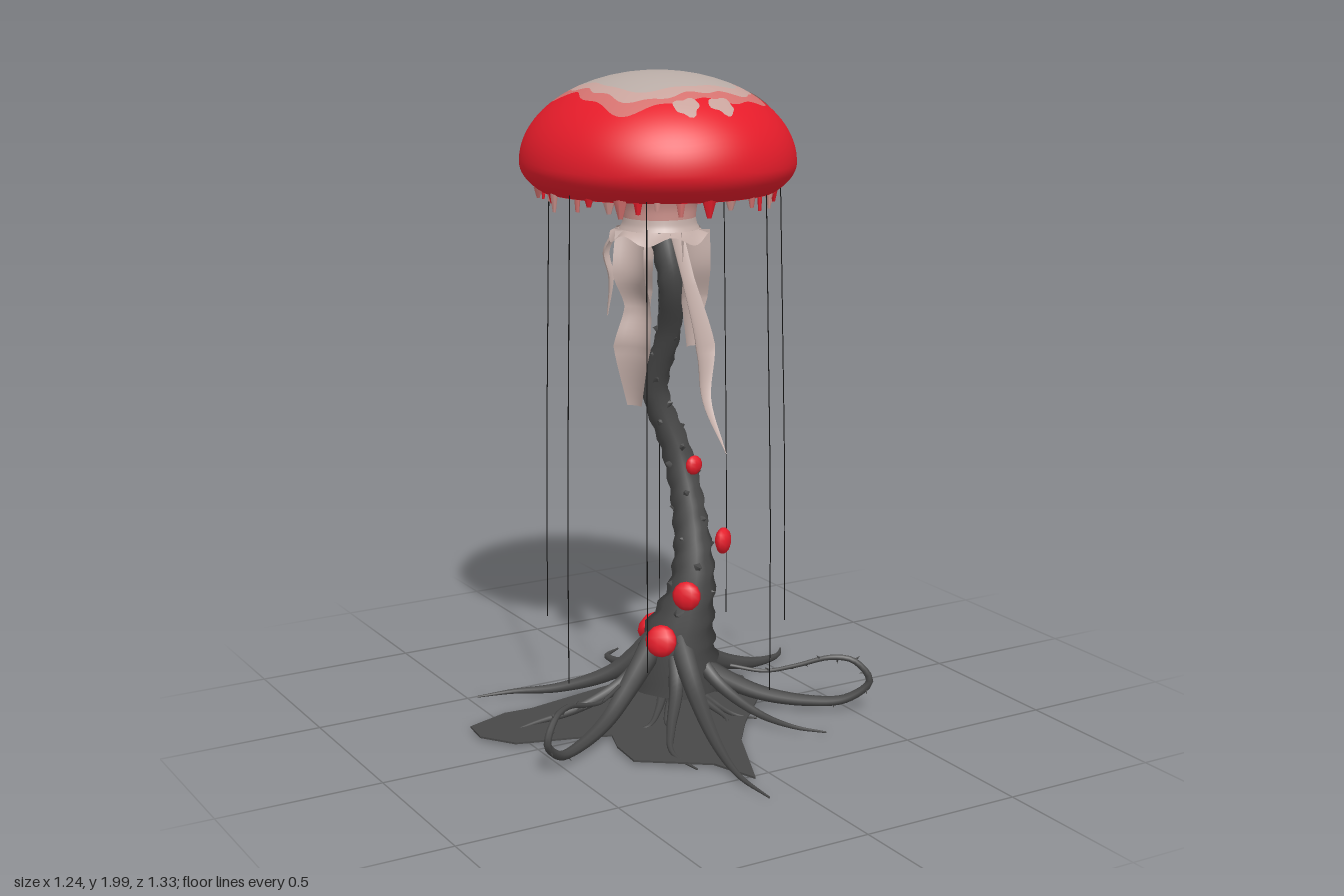
import * as THREE from 'three';
import { ParametricGeometry } from 'three/addons/geometries/ParametricGeometry.js';

const V = (x, y, z) => new THREE.Vector3(x, y, z);
const mat = (name, color, side = THREE.FrontSide) => {
  const m = new THREE.MeshStandardMaterial({ color, side });
  m.name = name;
  return m;
};

export function createModel() {
  const root = new THREE.Group();
  root.name = 'mushroomTree';
  const red = mat('capRed', 0xe61c2a, THREE.DoubleSide);
  const pale = mat('paleCrown', 0xb8aba5, THREE.DoubleSide);
  const blush = mat('blush', 0xc8a39c, THREE.DoubleSide);
  const rose = mat('neckRose', 0xd0958f, THREE.DoubleSide);
  const coral = mat('coral', 0xd4726f, THREE.DoubleSide);
  const bone = mat('tentacleBone', 0xc2ada7, THREE.DoubleSide);
  const bark = mat('darkBark', 0x484848, THREE.DoubleSide);
  const black = mat('filamentBlack', 0x151515);

  const add = (name, geo, material, parent = root) => {
    const m = new THREE.Mesh(geo, material);
    m.name = name;
    parent.add(m);
    return m;
  };
  const group = (name) => {
    const g = new THREE.Group();
    g.name = name;
    root.add(g);
    return g;
  };
  const surface = (fn, nu, nv) => new ParametricGeometry(fn, nu, nv);
  // Tube whose radius follows a rule of t (along) and a (around)
  const taperTube = (pts, radius, segs, sides) => {
    const curve = new THREE.CatmullRomCurve3(pts);
    const geo = new THREE.TubeGeometry(curve, segs, 1, sides);
    const pos = geo.attributes.position, p = V(0, 0, 0);
    for (let i = 0; i <= segs; i++) {
      const c = curve.getPointAt(i / segs);
      for (let j = 0; j <= sides; j++) {
        const k = i * (sides + 1) + j;
        p.fromBufferAttribute(pos, k).sub(c).multiplyScalar(radius(i / segs, (j % sides) / sides * Math.PI * 2)).add(c);
        pos.setXYZ(k, p.x, p.y, p.z);
      }
    }
    return geo;
  };
  const steps = (list) => (t) => { // piecewise linear lookup
    const f = t * (list.length - 1), i = Math.min(Math.floor(f), list.length - 2);
    return THREE.MathUtils.lerp(list[i], list[i + 1], f - i);
  };

  // Cap: bands between wavy outlines on one smooth dome
  const CX = 0.012, CZ = -0.163, RX = 0.413, RZ = 0.428;
  const domePoint = (phi, a, out, lift = 0) => {
    const c = Math.cos(phi), s = Math.sin(phi);
    return out.set(CX + RX * s * Math.cos(a), 1.73 + (c > 0 ? 0.27 : 0.16) * c + lift, CZ + RZ * s * Math.sin(a));
  };
  const square = (a) => Math.pow(Math.cos(a) ** 4 + Math.sin(a) ** 4, -0.25);
  const lobe = (a, at, size, width) => size * Math.exp(-(((a - at) / width) ** 2));
  const edges = [
    () => 0.003,
    (a) => Math.asin((0.2 * square(a) + 0.004 * Math.sin(9 * a)) / 0.42),
    (a) => Math.asin((0.24 * square(a) + 0.008 * Math.sin(13 * a + 1)) / 0.42),
    (a) => Math.asin((0.275 * square(a) + 0.01 * Math.sin(11 * a) + 0.008 * Math.sin(5 * a + 1) + lobe(a, 5.95, 0.04, 0.3)) / 0.42),
    () => 2.12,
  ];
  const cap = group('cap');
  [['crown', pale], ['crownRing', blush], ['crownFringe', coral], ['capSkin', red]].forEach(([name, m], i) =>
    add(name, surface((u, v, o) => {
      const a = u * Math.PI * 2;
      domePoint(THREE.MathUtils.lerp(edges[i](a), edges[i + 1](a), v), a, o);
    }, 120, i === 3 ? 22 : 5), m, cap));

  // Pale spots lying on the dome
  [[-0.085, -0.46, 0.05], [0.09, -0.48, 0.042], [0.32, -0.07, 0.032], [-0.065, 0.14, 0.035], [0.045, 0.15, 0.035]].forEach(([x, z, r], i) =>
    add('capSpot', surface((u, v, o) => {
      const a = u * Math.PI * 2, q = r * Math.max(v, 0.01) * (1 + 0.15 * Math.sin(3 * a + i) + 0.1 * Math.sin(5 * a));
      const dx = (x + q * Math.cos(a) * 1.1 - CX) / RX, dz = (z + q * Math.sin(a) * 0.9 - CZ) / RZ;
      domePoint(Math.asin(Math.min(Math.hypot(dx, dz), 1)), Math.atan2(dz, dx), o, 0.004);
    }, 24, 4), blush, cap));

  // Underside: wavy rings rising to the neck
  const under = [
    () => 0.853,
    (a) => 0.7 + 0.08 * Math.sin(9 * a) + 0.05 * Math.sin(5 * a + 2),
    (a) => 0.48 + 0.05 * Math.sin(7 * a + 1),
    () => 0.28,
  ];
  [['gillRim', red], ['gillMiddle', pale], ['gillInner', coral]].forEach(([name, m], i) =>
    add(name, surface((u, v, o) => {
      const a = u * Math.PI * 2, q = THREE.MathUtils.lerp(under[i](a), under[i + 1](a), v);
      o.set(CX + RX * q * Math.cos(a), 1.646 + 0.03 * Math.sin((0.853 - q) / 0.573 * Math.PI / 2), CZ + RZ * q * Math.sin(a));
    }, 72, 4), m, cap));

  // Uneven drips around the rim
  for (let i = 0; i < 34; i++) {
    const a = i / 34 * Math.PI * 2 + 0.08 * Math.sin(i * 7), len = 0.025 + 0.03 * Math.abs(Math.sin(i * 2.3));
    const q = 0.83 + 0.05 * Math.sin(i * 3.1);
    const d = add('drip', new THREE.CylinderGeometry(0.018 + 0.006 * Math.sin(i * 5), 0.007, len, 6), [red, coral, rose][i % 3], cap);
    d.position.set(CX + RX * q * Math.cos(a), 1.655 - len / 2, CZ + RZ * q * Math.sin(a));
    d.scale.z = 0.6;
    d.rotation.y = Math.PI / 2 - a;
  }

  // Neck with a ragged skirt
  const NX = 0.01, NZ = -0.15;
  const neck = (name, pts, m) => {
    const g = new THREE.LatheGeometry(new THREE.SplineCurve(pts.map(([r, y]) => new THREE.Vector2(r, y))).getPoints(8), 32);
    add(name, g, m).position.set(NX, 0, NZ);
  };
  neck('neckTop', [[0.122, 1.625], [0.133, 1.645], [0.17, 1.68]], coral);
  neck('neckMiddle', [[0.11, 1.565], [0.113, 1.595], [0.122, 1.625]], rose);
  neck('neck', [[0.122, 1.53], [0.114, 1.545], [0.11, 1.565]], bone);
  add('neckSkirt', surface((u, v, o) => {
    const a = u * Math.PI * 2, r = 0.122 + 0.03 * v;
    o.set(NX + r * Math.cos(a), 1.53 - v * (0.025 + 0.014 * Math.sin(6 * a)), NZ + r * Math.sin(a));
  }, 60, 3), bone);

  // Hanging ribbon tentacles: centre line, widths, width direction
  const ribbons = [
    [[V(0.0, 1.53, -0.03), V(0.01, 1.4, 0.02), V(0.03, 1.2, 0.09), V(0.01, 1.05, 0.13), V(0.01, 0.91, 0.24)], [0.08, 0.075, 0.12, 0.055, 0.003], V(0.8, 0, -0.45)],
    [[V(-0.11, 1.53, -0.12), V(-0.125, 1.4, -0.1), V(-0.09, 1.3, -0.11), V(-0.115, 1.18, -0.1), V(-0.085, 0.99, -0.14)], [0.1, 0.11, 0.09, 0.13, 0.05], V(0.5, 0, 0.87)],
    [[V(0.065, 1.53, -0.03), V(0.07, 1.42, -0.03), V(0.08, 1.32, -0.06), V(0.08, 1.17, -0.08)], [0.13, 0.125, 0.12, 0.04], V(0.95, 0, -0.3)],
    [[V(0.02, 1.53, -0.27), V(0.0, 1.42, -0.24), V(0.01, 1.32, -0.27), V(0.02, 1.21, -0.265)], [0.1, 0.07, 0.08, 0.03], V(0.7, 0, 0.7)],
    [[V(0.12, 1.53, -0.15), V(0.15, 1.47, -0.16), V(0.145, 1.4, -0.19), V(0.165, 1.36, -0.2)], [0.07, 0.06, 0.045, 0.004], V(0.4, 0, 0.9)],
    [[V(-0.07, 1.53, -0.24), V(-0.1, 1.45, -0.28), V(-0.09, 1.37, -0.27), V(-0.1, 1.25, -0.28)], [0.08, 0.06, 0.05, 0.01], V(0.7, 0, -0.7)],
  ];
  const tentacles = group('tentacles');
  ribbons.forEach(([pts, widths, side]) => {
    const curve = new THREE.CatmullRomCurve3(pts), w = steps(widths);
    const face = V(0, 1, 0).cross(side).normalize();
    add('tentacle', surface((u, v, o) => {
      const s = u - 0.5;
      o.copy(curve.getPoint(v)).addScaledVector(side, s * w(v)).addScaledVector(face, (1 - 4 * s * s) * w(v) * 0.2);
    }, 6, 28), bone, tentacles);
  });

  // Winding trunk
  const trunkPts = [V(0.055, 0.07, -0.14), V(0.065, 0.2, -0.14), V(0.125, 0.4, -0.145), V(0.148, 0.6, -0.2), V(0.133, 0.8, -0.258),
    V(0.068, 1.0, -0.28), V(0.07, 1.2, -0.2), V(0.035, 1.38, -0.125), V(0.02, 1.55, -0.165)];
  const trunkR = steps([0.15, 0.118, 0.076, 0.06, 0.053, 0.047, 0.042, 0.039, 0.037, 0.037, 0.04, 0.04]);
  add('trunk', taperTube(trunkPts, (t, a) => trunkR(t) * (1 + 0.07 * Math.sin(t * 140 + 2 * a) + 0.06 * Math.sin(5 * a + 9 * t)), 90, 16), bark);

  // Knobs up the trunk
  const trunkCurve = new THREE.CatmullRomCurve3(trunkPts);
  const thorn = (p, dir, r, h, parent) => {
    const k = add('thorn', new THREE.ConeGeometry(r, h, 5), bark, parent);
    k.position.copy(p);
    k.quaternion.setFromUnitVectors(V(0, 1, 0), dir.normalize());
  };
  const knobs = group('trunkKnobs');
  for (let i = 0; i < 34; i++) {
    const t = 0.13 + i * 0.019, a = i * 2.4, d = V(Math.cos(a), 0.25, Math.sin(a));
    thorn(trunkCurve.getPointAt(t).addScaledVector(d, trunkR(t) * 0.93), d, 0.024, 0.03, knobs);
  }

  // Flat ground skin
  const outline = [[-0.62, -0.15], [-0.61, -0.24], [-0.47, -0.29], [-0.38, -0.285], [-0.1, -0.34], [0.08, -0.37], [0.28, -0.34], [0.35, -0.2], [0.28, 0],
    [0.14, 0.15], [0.05, 0.27], [-0.07, 0.54], [-0.12, 0.39], [-0.31, 0.25], [-0.3, 0.13], [-0.27, 0.04], [-0.38, 0], [-0.55, -0.05]];
  const skin = new THREE.ExtrudeGeometry(new THREE.Shape(outline.map(([x, z]) => new THREE.Vector2(x, -z))), { depth: 0.006, bevelEnabled: false });
  add('groundSkin', skin.rotateX(-Math.PI / 2).translate(0, 0.018, 0), bark);

  // Spreading roots: tip x, tip z, thickness, sideways bend
  const roots = group('roots');
  [[-0.47, -0.49, 0.034, 0.02], [0.14, -0.67, 0.036, -0.07], [0.62, -0.39, 0.042, 0.05], [-0.1, 0.66, 0.036, 0.035], [0.32, 0.33, 0.026, 0.04],
    [-0.17, 0.38, 0.028, 0.06], [-0.54, -0.15, 0.028, 0.01], [0.2, 0.12, 0.02, 0.04], [0.06, 0.16, 0.02, -0.04], [-0.07, 0.12, 0.02, 0.04],
    [0.3, -0.1, 0.022, 0.04], [-0.05, -0.42, 0.022, 0.05], [-0.2, 0.03, 0.022, -0.04]].forEach(([x, z, r, bend]) => {
    const d = V(x - 0.05, 0, z + 0.14), n = V(-d.z, 0, d.x).normalize();
    const at = (f, y, b) => V(0.05, y, -0.14).addScaledVector(d, f).addScaledVector(n, b);
    const long = d.length() > 0.4 ? 1 : 0.7;
    const pts = [at(0.08, 0.2 * long + 0.03, 0), at(0.3, 0.11 * long, bend * 0.2), at(0.58, 0.045, bend * 0.8), at(0.83, 0.025, bend), at(1, 0.012, 0)];
    add('root', taperTube(pts, (t) => r * (1 - t) ** 1.1 + 0.003, 28, 7), bark, roots);
  });

  // Curling thorny roots, one on each side
  [[-1, 0.21], [1, 0.25]].forEach(([s, zEnd]) => {
    const pts = [[0, 0.22], [0.13, 0.13], [0.25, 0.065], [0.38, 0.04], [0.48, 0.05], [0.54, 0.11], [0.5, 0.175], [0.44, 0.185], [0.35, 0.155], [0.27, 0.135], [0.18, 0.15]]
      .map(([d, y]) => V(s * d + (s < 0 ? -0.03 : 0), y, THREE.MathUtils.lerp(-0.13, zEnd, d / 0.55)));
    add('curlingRoot', taperTube(pts, (t) => 0.036 * (1 - t) ** 2 + 0.006, 60, 7), bark, roots);
    const curve = new THREE.CatmullRomCurve3(pts);
    for (let i = 0; i < 12; i++) {
      const t = 0.4 + i * 0.045, d = V(s * Math.cos(i * 2), Math.sin(i * 2.5), 0.4 * Math.cos(i * 3)).normalize();
      thorn(curve.getPointAt(t).addScaledVector(d, 0.014), d, 0.005, 0.022, roots);
    }
  });

  // Red bulbs flattened against the trunk: position, radius, outward direction
  const bulbs = group('redBulbs');
  [[V(0.15, 0.765, -0.18), 0.031, V(0.2, 0, 1)], [V(0.21, 0.53, -0.1), 0.042, V(0.7, 0, 0.7)], [V(0.05, 0.385, -0.055), 0.046, V(-0.7, 0.1, 0.7)],
    [V(-0.05, 0.26, -0.04), 0.05, V(-0.6, 0.3, 0.7)], [V(0.05, 0.225, -0.285), 0.05, V(-0.4, 0.5, -0.8)]].forEach(([p, r, dir]) => {
    const b = add('bulb', new THREE.SphereGeometry(r, 9, 7), red, bulbs);
    b.position.copy(p);
    b.scale.z = 0.6;
    b.quaternion.setFromUnitVectors(V(0, 0, 1), dir.normalize());
  });

  // Fine filaments hanging from the rim: x, z, lower end
  const filaments = group('filaments');
  [[-0.355, -0.05, 0.18], [-0.205, 0.15, 0.25], [0.205, 0.16, 0.12], [0.36, 0, 0.27], [0.355, -0.33, 0.2], [-0.205, -0.48, 0.24], [0.2, -0.485, 0.22]].forEach(([x, z, end]) => {
    const at = (f, y) => V(CX + (x - CX) * f, y, CZ + (z - CZ) * f);
    add('filament', taperTube([at(0.97, 1.66), at(1, 1.2), at(1.03, 0.7), at(1.04, end)], () => 0.0018, 14, 4), black, filaments);
  });
  return root;
}
